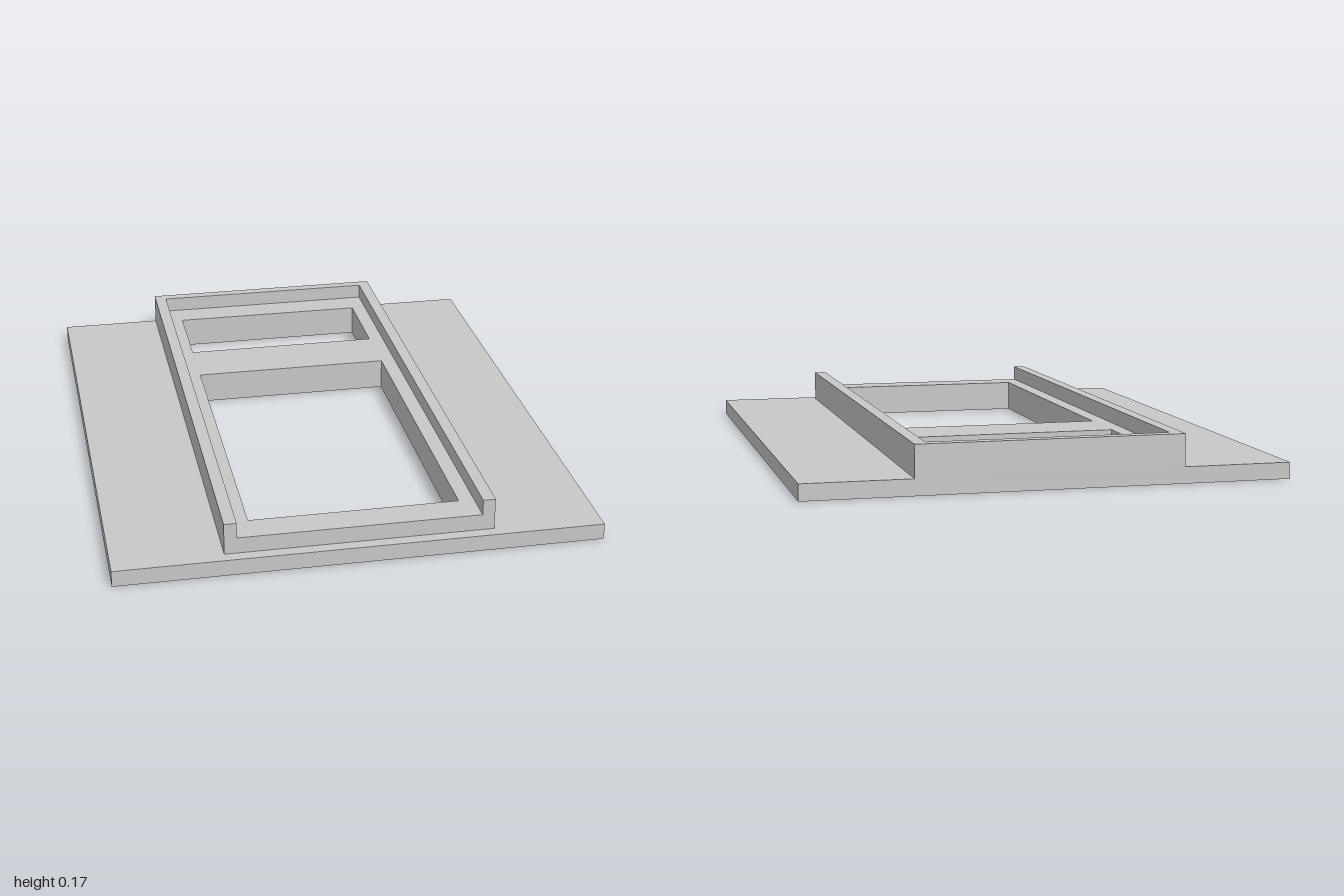
import * as THREE from 'three';

export function createModel() {
  const group = new THREE.Group();
  const grey = new THREE.MeshStandardMaterial({ color: 0xc8c8c8 });
  grey.name = 'light grey';

  const windows = [[-0.851, -0.523], [-0.305, 0.851]];
  const windowHalfWidth = 0.357;
  const frontEdge = 0.959;

  // Horizontal slab from plan points [x, z], extruded from y0 to y1
  function slab(name, points, y0, y1, holes = []) {
    const toShape = (C, pts) => new C(pts.map(([x, z]) => new THREE.Vector2(x, -z)));
    const shape = toShape(THREE.Shape, points);
    shape.holes = holes.map((pts) => toShape(THREE.Path, pts));
    const geometry = new THREE.ExtrudeGeometry(shape, { depth: y1 - y0, bevelEnabled: false });
    geometry.rotateX(-Math.PI / 2);
    geometry.translate(0, y0, 0);
    const mesh = new THREE.Mesh(geometry, grey);
    mesh.name = name;
    group.add(mesh);
  }

  // Counter-clockwise seen from above, so the opening walls face inward
  const rect = (w, z0, z1) => [[-w, z1], [w, z1], [w, z0], [-w, z0]];
  const openings = windows.map(([z0, z1]) => rect(windowHalfWidth, z0, z1));

  // Wide base flange and raised frame, both pierced by the two openings
  slab('baseFlange', rect(0.822, -1, 1), 0, 0.056, openings);
  slab('raisedFrame', rect(0.4525, -1, frontEdge), 0.056, 0.112, openings);

  // U-shaped rim along the sides and back, open at the front
  slab('rim', [
    [-0.4525, frontEdge], [-0.4525, -1], [0.4525, -1], [0.4525, frontEdge],
    [0.41, frontEdge], [0.41, -0.961], [-0.41, -0.961], [-0.41, frontEdge],
  ], 0.112, 0.166);

  return group;
}
